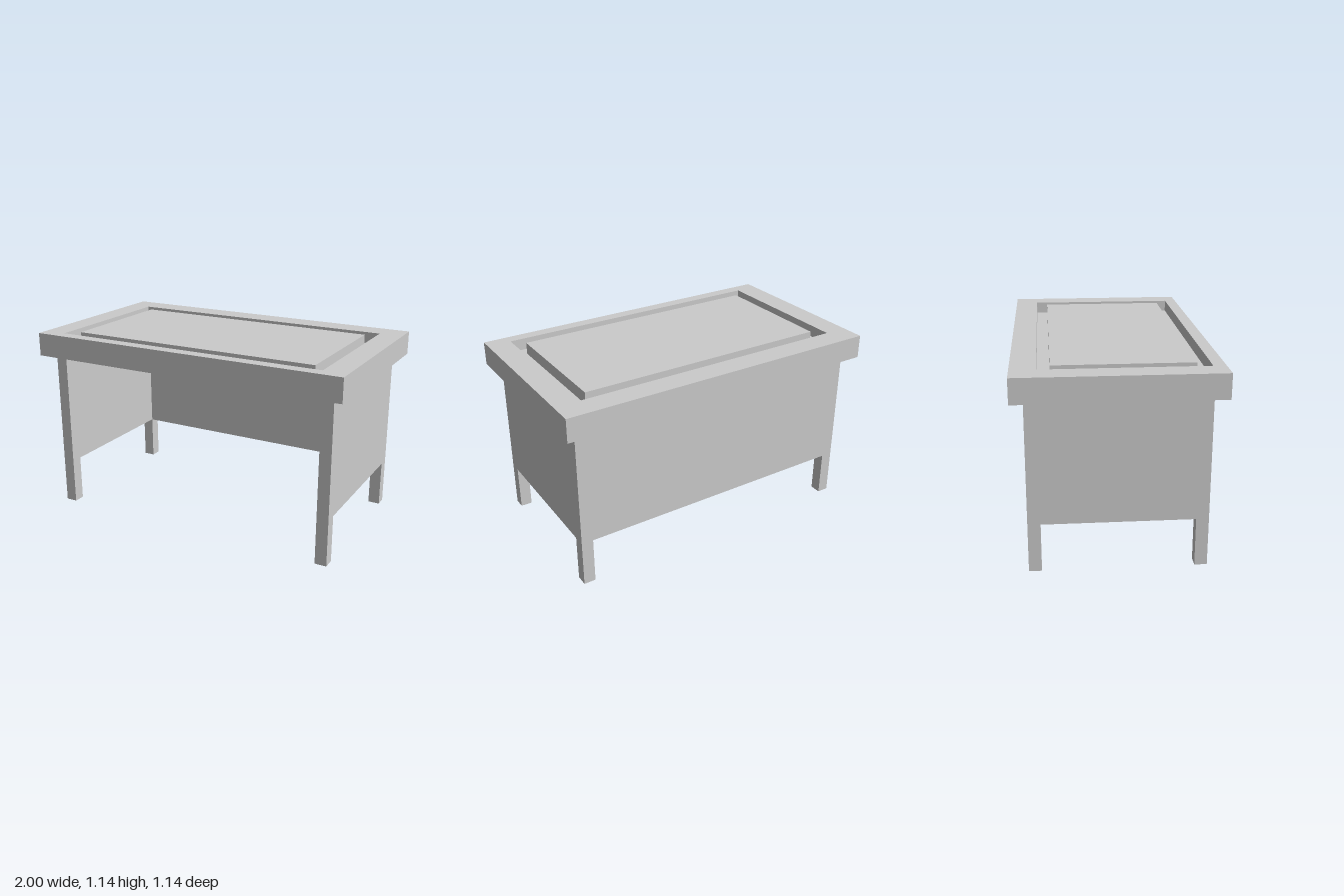
import * as THREE from 'three';

const U = 1 / 14; // one plank thickness; all sizes are whole multiples of it

export function createModel() {
  const group = new THREE.Group();
  const mat = new THREE.MeshStandardMaterial({ color: 0xcccccc, flatShading: true });

  const add = (name, geo) => {
    const mesh = new THREE.Mesh(geo, mat);
    mesh.name = name;
    group.add(mesh);
    return mesh;
  };

  // Box given by its lower and upper corners, in plank units
  const box = (name, [x0, y0, z0], [x1, y1, z1]) =>
    add(name, new THREE.BoxGeometry((x1 - x0) * U, (y1 - y0) * U, (z1 - z0) * U))
      .position.set((x0 + x1) * U / 2, (y0 + y1) * U / 2, (z0 + z1) * U / 2);

  // Rectangle in plan; shape y is -z once the extrusion is laid flat
  const rect = (path, x, zBack, zFront) => path
    .moveTo(-x * U, -zFront * U).lineTo(x * U, -zFront * U)
    .lineTo(x * U, -zBack * U).lineTo(-x * U, -zBack * U).closePath();

  // Tabletop: base slab, rim around the groove, and writing surface flush with the rim
  box('tabletopBase', [-14, 14, -8], [14, 15, 8]);
  const rim = new THREE.Shape();
  rect(rim, 14, -8, 8);
  const hole = new THREE.Path();
  rect(hole, 12, -6, 7);
  rim.holes.push(hole);
  const rimGeo = new THREE.ExtrudeGeometry(rim, { depth: U, bevelEnabled: false });
  rimGeo.rotateX(-Math.PI / 2);
  add('tabletopRim', rimGeo).position.y = 15 * U;
  box('writingSurface', [-11, 15, -5], [11, 16, 6]);

  // Legs and side panels, mirrored left and right
  for (const [side, x] of [['left', 12], ['right', -13]]) {
    box(side + 'FrontLeg', [x, 0, 6], [x + 1, 14, 7]);
    box(side + 'BackLeg', [x, 0, -7], [x + 1, 14, -6]);
    box(side + 'SidePanel', [x, 4, -6], [x + 1, 14, 6]);
  }

  // Back panel between the rear legs; the front stays open
  box('backPanel', [-12, 4, -7], [12, 14, -6]);

  return group;
}
